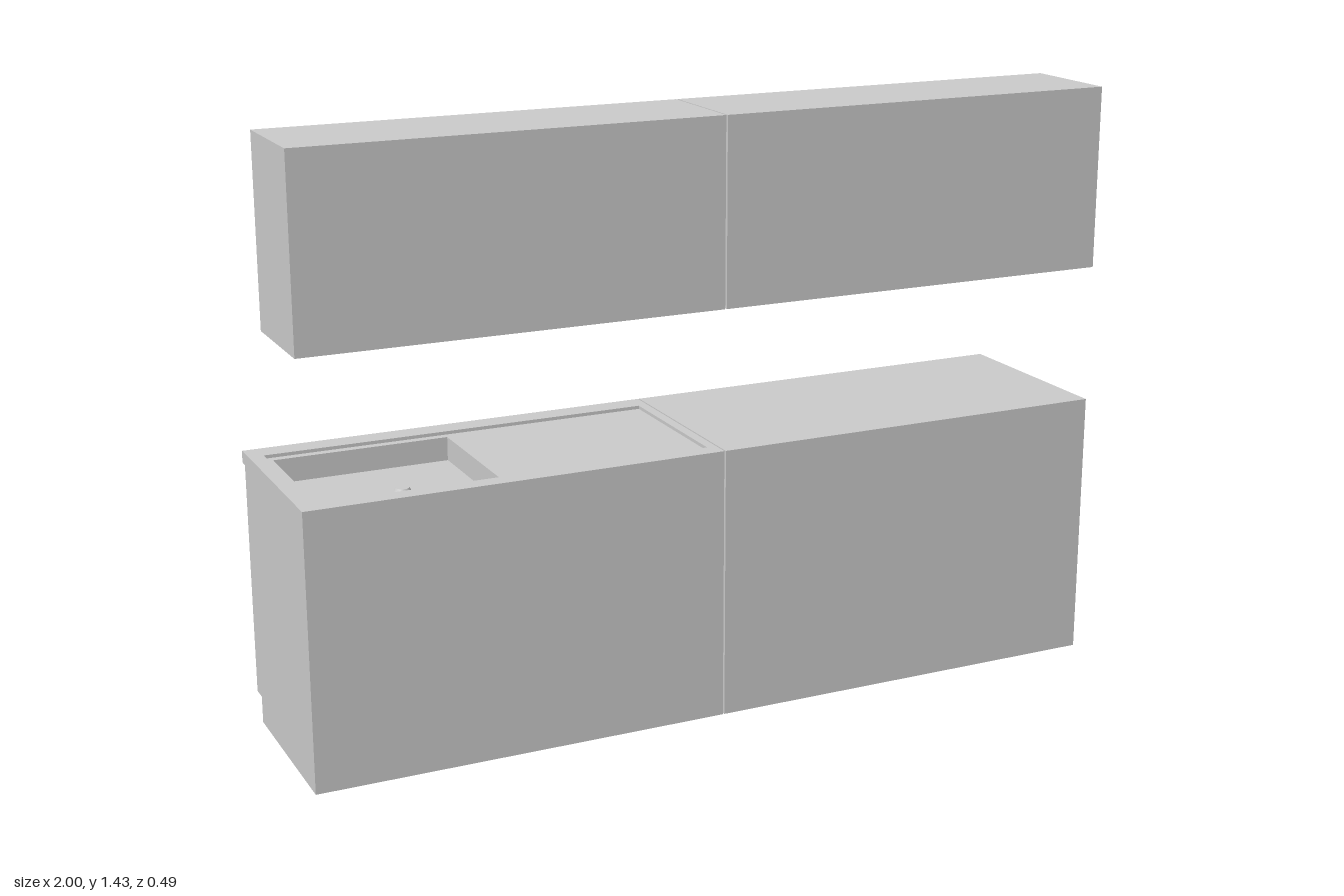
import * as THREE from 'three';

const material = new THREE.MeshStandardMaterial({ color: 0xcccccc });
const BACK = 0.243, FACE = -0.22, TOP = 0.655;

function add(parent, name, geometry) {
  const mesh = new THREE.Mesh(geometry, material);
  mesh.name = name;
  parent.add(mesh);
  return mesh;
}

// Box given by its lower and upper limits on each axis
function block(parent, name, [x0, x1], [y0, y1], [z0, z1]) {
  const mesh = add(parent, name, new THREE.BoxGeometry(x1 - x0, y1 - y0, z1 - z0));
  mesh.position.set((x0 + x1) / 2, (y0 + y1) / 2, (z0 + z1) / 2);
  return mesh;
}

// Horizontal slab with a rectangular opening
function ring(parent, name, [x0, x1], [z0, z1], [hx0, hx1], [hz0, hz1], [y0, y1]) {
  const shape = new THREE.Shape();
  shape.moveTo(x0, -z1).lineTo(x1, -z1).lineTo(x1, -z0).lineTo(x0, -z0).closePath();
  const hole = new THREE.Path();
  hole.moveTo(hx0, -hz1).lineTo(hx0, -hz0).lineTo(hx1, -hz0).lineTo(hx1, -hz1).closePath();
  shape.holes.push(hole);
  const geometry = new THREE.ExtrudeGeometry(shape, { depth: y1 - y0, bevelEnabled: false });
  geometry.rotateX(-Math.PI / 2);
  add(parent, name, geometry).position.y = y0;
}

// Bar handle on two posts, lying along x; spin turns it upright
function handle(parent, name, x, y, z, length, spin) {
  const group = new THREE.Group();
  group.name = name;
  block(group, 'handleBar', [-length / 2, length / 2], [-0.005, 0.005], [-0.012, -0.006]);
  for (const s of [-1, 1]) {
    const c = s * (length / 2 - 0.008);
    block(group, 'handlePost', [c - 0.005, c + 0.005], [-0.004, 0.004], [-0.008, 0]);
  }
  group.position.set(x, y, z);
  group.rotation.z = spin;
  parent.add(group);
}

// Rounded front edge of a worktop
function frontEdge(parent, x0, x1) {
  const z0 = -FACE, z1 = 0.241, y0 = 0.625, r = 0.006;
  const s = new THREE.Shape();
  s.moveTo(z0, y0).lineTo(z1 - r, y0).quadraticCurveTo(z1, y0, z1, y0 + r);
  s.lineTo(z1, TOP - r).quadraticCurveTo(z1, TOP, z1 - r, TOP).lineTo(z0, TOP).closePath();
  const geometry = new THREE.ExtrudeGeometry(s, { depth: x1 - x0, bevelEnabled: false, curveSegments: 4 });
  geometry.rotateY(Math.PI / 2);
  add(parent, 'worktopFrontEdge', geometry).position.x = x0;
}

// Door limits of one unit, measured outward from the middle joint
const doorSpans = [[0.035, 0.485], [0.515, 0.97]];
const mirrored = ([a, b], side) => (side > 0 ? [a, b] : [-b, -a]);

function baseUnit(side, bodyTop) {
  const unit = new THREE.Group();
  unit.name = side > 0 ? 'drawerUnit' : 'sinkUnit';
  const span = mirrored([0.002, 1], side);
  block(unit, 'plinth', span, [0, 0.065], [-0.183, BACK]);
  block(unit, 'carcass', span, [0.065, bodyTop], [FACE, BACK]);
  frontEdge(unit, span[0], span[1]);
  doorSpans.forEach((d, i) => {
    block(unit, 'door', mirrored(d, side), [0.07, 0.495], [-0.23, FACE]);
    const x = side * (i === 0 ? 0.463 : 0.537);
    handle(unit, 'doorHandle', x, 0.28, -0.23, 0.26, Math.PI / 2);
  });
  return unit;
}

// Two small drawers above each door
function addDrawers(unit) {
  for (const [a, b] of doorSpans) {
    const mid = (a + b) / 2;
    for (const span of [[a, mid - 0.006], [mid + 0.006, b]]) {
      block(unit, 'drawer', span, [0.52, 0.61], [-0.23, FACE]);
      handle(unit, 'drawerHandle', (span[0] + span[1]) / 2, 0.588, -0.23, 0.125, 0);
    }
  }
}

// Sunken draining area with a deeper basin and its drain
function addSink(unit, floor) {
  const x = [-1, -0.002], z = [FACE, BACK];
  ring(unit, 'basinSurround', x, z, [-0.95, -0.53], [-0.16, 0.18], [floor, 0.647]);
  ring(unit, 'sinkRim', x, z, [-0.965, -0.025], [-0.18, 0.2], [0.647, TOP]);
  const drain = add(unit, 'drain', new THREE.CylinderGeometry(0.016, 0.02, 0.008, 20));
  drain.position.set(-0.7, floor + 0.004, 0.01);
}

function wallUnit(side) {
  const unit = new THREE.Group();
  unit.name = 'wallCabinet';
  block(unit, 'cabinetBody', mirrored([0.002, 1], side), [0.99, 1.43], [-0.015, BACK]);
  for (const d of doorSpans) {
    block(unit, 'cabinetDoor', mirrored(d, side), [1.0, 1.422], [-0.03, -0.015]);
  }
  return unit;
}

export function createModel() {
  const model = new THREE.Group();
  model.name = 'kitchen';
  const drawerUnit = baseUnit(1, TOP);
  addDrawers(drawerUnit);
  const basinFloor = 0.59;
  const sinkUnit = baseUnit(-1, basinFloor);
  addSink(sinkUnit, basinFloor);
  model.add(drawerUnit, sinkUnit, wallUnit(1), wallUnit(-1));
  return model;
}
